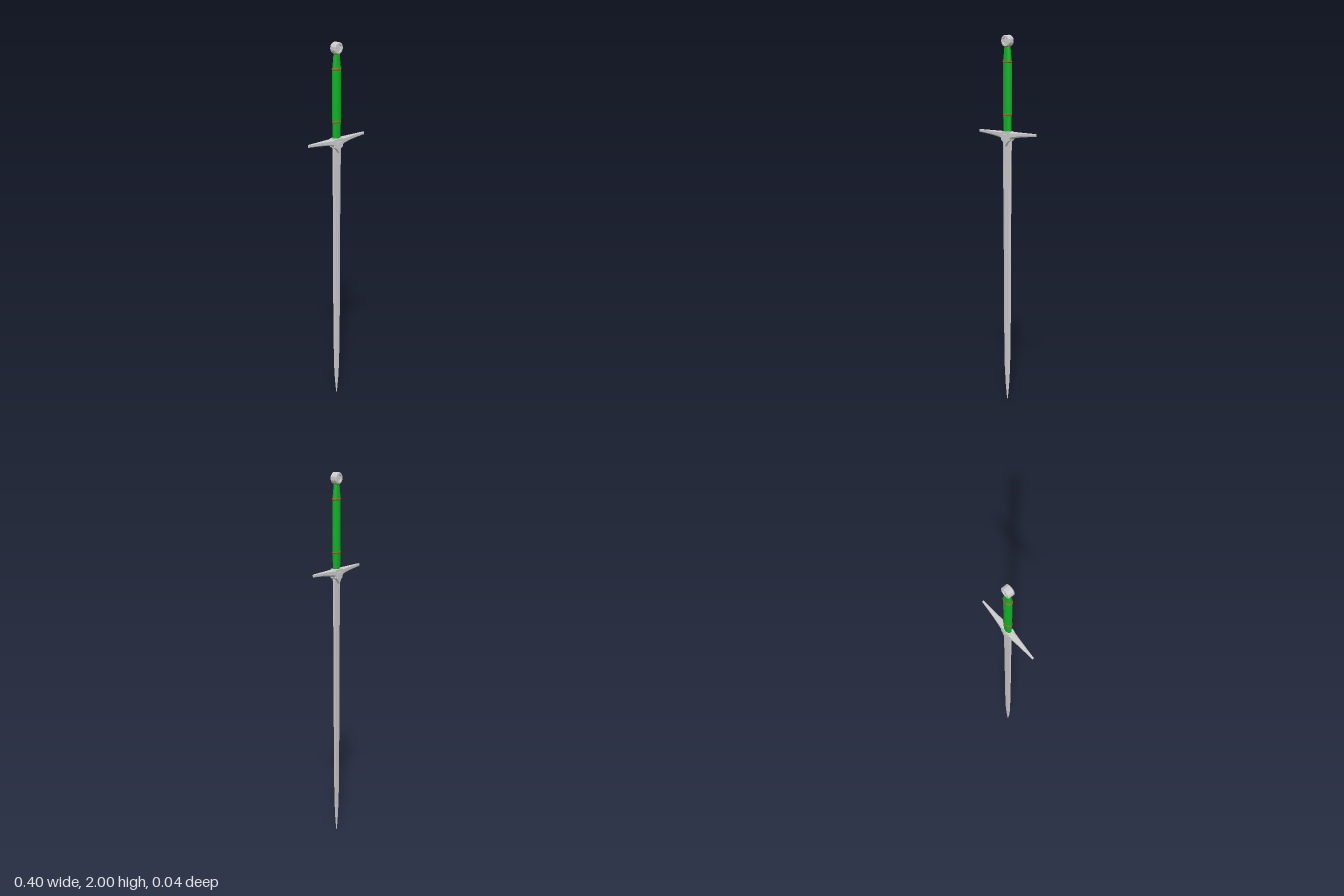
import * as THREE from 'three';
import { toCreasedNormals } from 'three/addons/utils/BufferGeometryUtils.js';

const steel = new THREE.MeshStandardMaterial({ color: 0xcccccc });
const green = new THREE.MeshStandardMaterial({ color: 0x0cb423 });
const copper = new THREE.MeshStandardMaterial({ color: 0xb5541a });

// Skin closed rings of [x, y, z] points and cap both ends
function loft(rings, crease = 0.6) {
  const n = rings[0].length;
  const pos = rings.flat(2);
  const index = [];
  for (let i = 0; i < rings.length - 1; i++) {
    for (let j = 0; j < n; j++) {
      const a = i * n + j, b = i * n + (j + 1) % n;
      index.push(a, b, b + n, a, b + n, a + n);
    }
  }
  const last = (rings.length - 1) * n;
  for (let j = 1; j < n - 1; j++) {
    index.push(0, j + 1, j, last, last + j, last + j + 1);
  }
  const g = new THREE.BufferGeometry();
  g.setAttribute('position', new THREE.Float32BufferAttribute(pos, 3));
  g.setIndex(index);
  return toCreasedNormals(g, crease);
}

// Oval rings stacked along y, from [y, half width, half depth]
const ovals = (rows, sides) => rows.map(([y, w, d]) =>
  Array.from({ length: sides }, (_, i) => {
    const a = (i / sides) * Math.PI * 2;
    return [w * Math.cos(a), y, -d * Math.sin(a)];
  }));

// Outline scaled by half width and half depth at each height
const outlines = (rows, shape) => rows.map(([y, w, d]) => shape.map(([x, z]) => [x * w, y, z * d]));

export function createModel() {
  const sword = new THREE.Group();
  sword.name = 'sword';
  const add = (name, geometry, material, parent = sword) => {
    const mesh = new THREE.Mesh(geometry, material);
    mesh.name = name;
    parent.add(mesh);
    return mesh;
  };

  // Blade with thin edges and a shallow central fuller on each face
  const bladeShape = [[1, 0], [0.5, -0.9], [0.3, -1], [0, -0.6], [-0.3, -1], [-0.5, -0.9],
    [-1, 0], [-0.5, 0.9], [-0.3, 1], [0, 0.6], [0.3, 1], [0.5, 0.9]];
  add('blade', loft(outlines([
    [0, 0.0008, 0.0005], [0.03, 0.006, 0.001], [0.09, 0.013, 0.0015], [0.19, 0.02, 0.002],
    [0.4, 0.024, 0.0025], [0.72, 0.0265, 0.003], [1.2, 0.028, 0.0035],
  ], bladeShape), 0.15), steel);

  // Thicker blunt section below the guard
  const ricassoShape = [[1, -0.4], [0.75, -1], [-0.75, -1], [-1, -0.4], [-1, 0.4], [-0.75, 1], [0.75, 1], [1, 0.4]];
  add('ricasso', loft(outlines([[1.18, 0.029, 0.004], [1.46, 0.029, 0.0055]], ricassoShape), 0.2), steel);

  // Crossguard arms: [x, underside, half depth], with bevelled edges
  const half = [[0.025, 1.447, 0.0195], [0.05, 1.457, 0.0165], [0.1, 1.466, 0.012], [0.15, 1.471, 0.008], [0.2, 1.475, 0.005]];
  const arm = [...half.map(([x, y, d]) => [-x, y, d]).reverse(), ...half];
  const armShape = [[1, -0.6], [1, 0.6], [0.7, 1], [-0.5, 1], [-1, 0.5], [-1, -0.5], [-0.5, -1], [0.7, -1]];
  add('crossguard', loft(arm.map(([x, low, d]) => {
    const mid = (1.49 + low) / 2, h = (1.49 - low) / 2;
    return armShape.map(([y, z]) => [x, mid + y * h, z * d]);
  }), 0.4), steel);

  // Pointed guard centre with a smaller raised wedge front and back
  const wedge = (w, top, side, tip, depth) => {
    const s = new THREE.Shape();
    s.moveTo(-w, top).lineTo(-w, side).lineTo(0, tip).lineTo(w, side).lineTo(w, top).closePath();
    const g = new THREE.ExtrudeGeometry(s, { depth: depth - 0.004, bevelEnabled: true,
      bevelSize: 0.002, bevelThickness: 0.002, bevelOffset: -0.002, bevelSegments: 1 });
    return g.translate(0, 0, -(depth - 0.004) / 2);
  };
  add('guardCentre', wedge(0.031, 1.492, 1.445, 1.422, 0.039), steel);
  add('guardWedge', wedge(0.016, 1.475, 1.437, 1.412, 0.043), steel);

  // Grip, waisted at the foot and tapering to the pommel
  add('grip', loft(ovals([
    [1.488, 0.024, 0.016], [1.56, 0.026, 0.0175], [1.6, 0.027, 0.018], [1.84, 0.027, 0.018],
    [1.87, 0.026, 0.0175], [1.91, 0.021, 0.015], [1.945, 0.018, 0.014],
  ], 16)), green);

  // Bands around the grip
  for (const [y, w, d] of [[1.58, 0.0285, 0.02], [1.86, 0.0295, 0.0205], [1.942, 0.0195, 0.0165]]) {
    add('gripBand', loft(ovals([
      [y - 0.005, w - 0.003, d - 0.003], [y - 0.002, w, d], [y + 0.002, w, d], [y + 0.005, w - 0.003, d - 0.003],
    ], 16)), copper);
  }

  // Wheel pommel with a sunken face and cross on both sides
  const pommel = new THREE.Group();
  pommel.name = 'pommel';
  pommel.position.y = 1.969;
  sword.add(pommel);
  const profile = [[0, -0.012], [0.018, -0.012], [0.02, -0.019], [0.027, -0.019], [0.031, -0.015],
    [0.031, 0.015], [0.027, 0.019], [0.02, 0.019], [0.018, 0.012], [0, 0.012]];
  const wheel = new THREE.LatheGeometry(profile.map(([r, y]) => new THREE.Vector2(r, y)), 28);
  add('pommelWheel', toCreasedNormals(wheel.rotateX(Math.PI / 2), 0.5), steel, pommel);
  add('pommelCrossUpright', new THREE.BoxGeometry(0.006, 0.038, 0.033), steel, pommel);
  add('pommelCrossBar', new THREE.BoxGeometry(0.038, 0.006, 0.033), steel, pommel);

  return sword;
}
